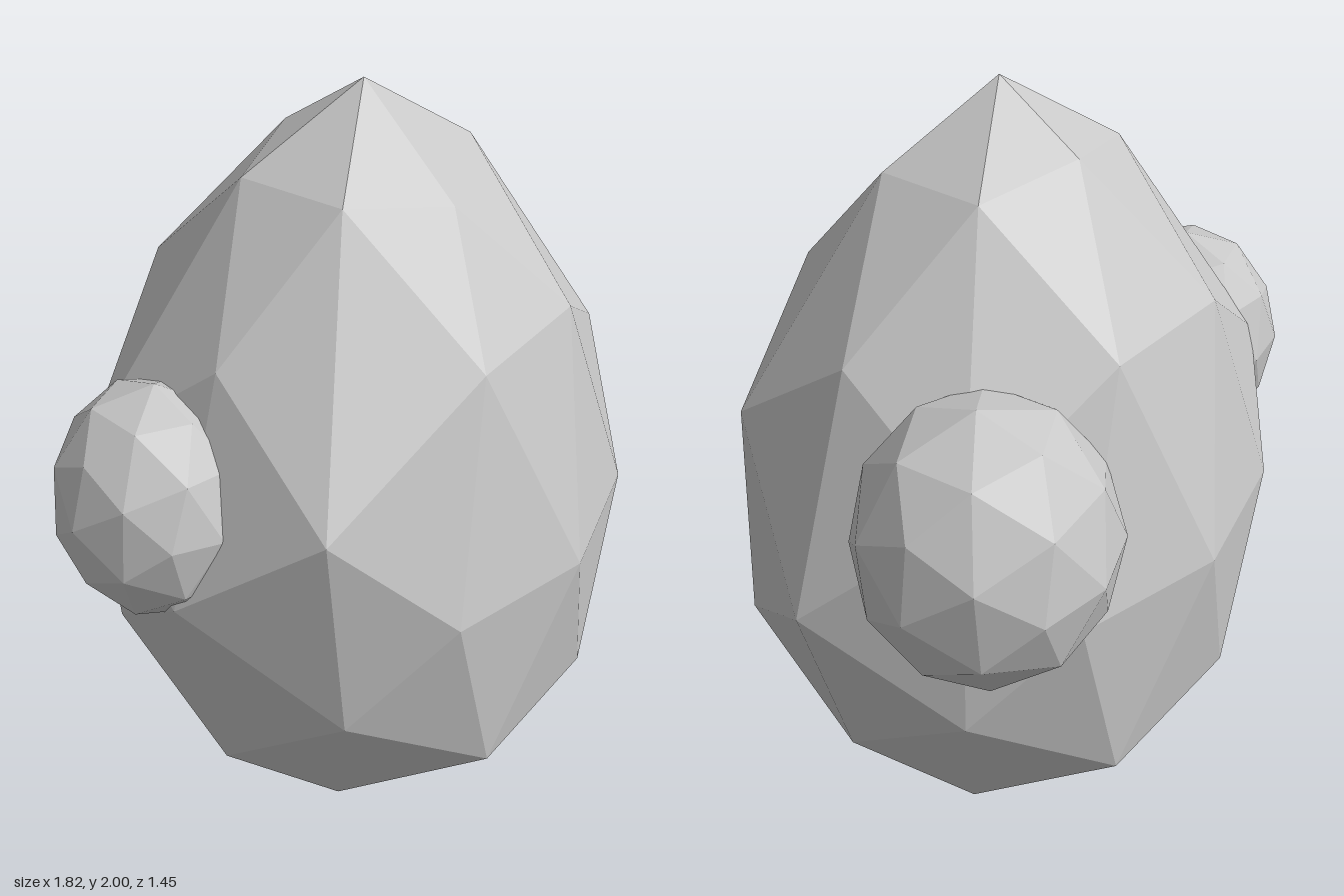
import * as THREE from 'three';

// Faceted sphere with an edge midpoint at the top, so its vertices fall in level rings.
function facetedSphere() {
  return new THREE.IcosahedronGeometry(1, 1).rotateY(Math.PI / 2);
}

// Body rings: [height on the unit sphere, y, x scale, z scale, x shift, z shift, x slope, z slope]
const RINGS = [
  [1, 2.0, 1, 1, 0.02, 0.01, 0, 0],
  [0.851, 1.785, 1, 0.5, 0.01, 0.03, 0, -0.2],
  [0.809, 1.795, 0.57, 0.5, 0.015, 0, 0, 0],
  [0.526, 1.44, 0.71, 1, 0.025, 0, 0, 0],
  [0.5, 1.445, 0.68, 0.65, 0.015, 0, 0, -0.03],
  [0.309, 1.15, 0.8, 0.77, -0.01, 0, 0.03, 0],
  [0, 0.82, 0.82, 0.72, 0.03, 0, -0.02, -0.04],
  [-0.309, 0.505, 0.78, 0.79, 0.03, 0, 0.02, 0],
  [-0.5, 0.23, 0.86, 0.77, 0.03, 0, -0.04, -0.04],
  [-0.526, 0.215, 0.775, 1, 0.03, 0, 0.05, 0],
  [-0.809, 0, 0.87, 0.77, 0.015, 0, 0, 0],
  [-0.851, 0, 1, 0.74, 0, 0, 0, 0],
  [-1, 0, 1, 1, 0, 0, 0, 0],
];

// Reshape the sphere into an egg with a pointed top and flat base.
function bodyGeometry() {
  const geo = facetedSphere();
  const pos = geo.attributes.position;
  const v = new THREE.Vector3();
  for (let i = 0; i < pos.count; i++) {
    v.fromBufferAttribute(pos, i);
    const ring = RINGS.reduce((a, b) =>
      Math.abs(b[0] - v.y) < Math.abs(a[0] - v.y) ? b : a);
    const [, y, sx, sz, shiftX, shiftZ, slopeX, slopeZ] = ring;
    const x = v.x * sx;
    const z = v.z * sz;
    pos.setXYZ(i, x + shiftX, y + x * slopeX + z * slopeZ, z + shiftZ);
  }
  geo.computeVertexNormals();
  return geo;
}

export function createModel() {
  const model = new THREE.Group();
  model.name = 'rock';
  const stone = new THREE.MeshStandardMaterial({ color: 0xc8c8c8 });
  stone.name = 'light grey stone';
  stone.flatShading = true;

  const body = new THREE.Mesh(bodyGeometry(), stone);
  body.name = 'mainRock';
  model.add(body);

  // Smaller stones half sunk into the sides
  const addStone = (name, radii, centre, lean, turn) => {
    const geo = facetedSphere().scale(...radii).rotateZ(lean).rotateY(turn);
    geo.computeVertexNormals();
    const mesh = new THREE.Mesh(geo, stone);
    mesh.name = name;
    mesh.position.set(...centre);
    model.add(mesh);
  };
  addStone('leftStone', [0.345, 0.392, 0.335], [0.565, 1.085, -0.395], -0.1, 0.08);
  addStone('rightStone', [0.255, 0.328, 0.275], [-0.66, 1.05, -0.165], -0.1, -0.15);

  return model;
}
